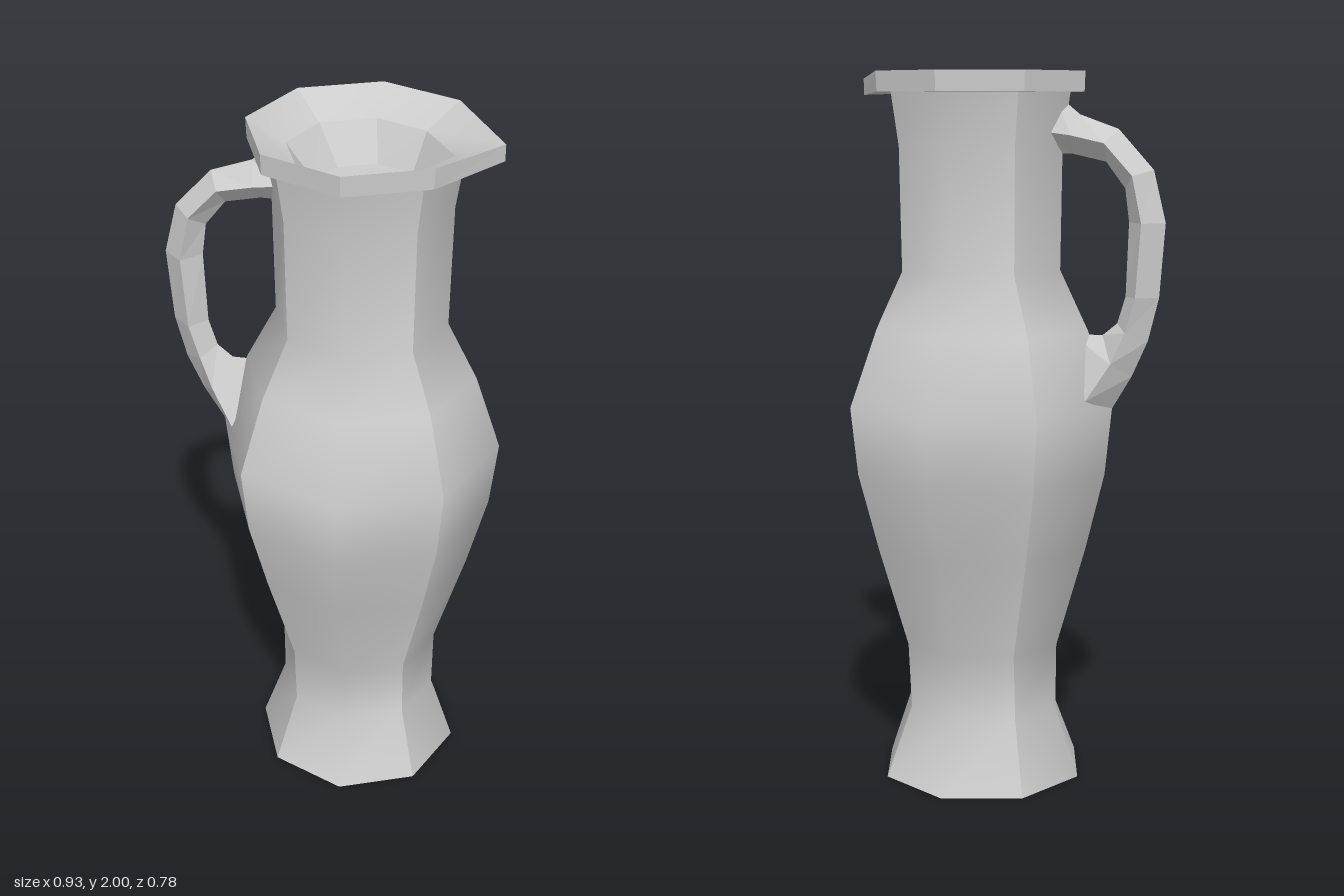
import * as THREE from 'three';

const AXIS = 0.07; // the vessel's axis is offset to make room for the handle

// Skin a grid of points: rings[i][j], i along the part, j around it
function loft(name, rings, flat) {
  const n = rings[0].length, index = [];
  for (let i = 0; i < rings.length - 1; i++) {
    for (let j = 0; j < n - 1; j++) {
      const a = i * n + j, b = a + n;
      index.push(a, b, a + 1, b, b + 1, a + 1);
    }
  }
  const geo = new THREE.BufferGeometry();
  geo.setAttribute('position', new THREE.Float32BufferAttribute(rings.flat(2), 3));
  geo.setIndex(index);
  geo.computeVertexNormals();
  const mesh = new THREE.Mesh(geo, new THREE.MeshStandardMaterial({ color: 0xcccccc, flatShading: flat }));
  mesh.name = name;
  return mesh;
}

// Octagonal part from a profile of [y, rx, rz, spoutReach, spoutDrop, xShift],
// split in four panels so that the diagonal edges stay sharp
function octagon(name, profile, flat = false) {
  const group = new THREE.Group();
  group.name = name;
  for (let side = 0; side < 4; side++) {
    const rings = profile.map(([y, rx, rz, reach = 0, drop = 0, shift = 0]) =>
      [-1, 0, 1].map((k) => {
        const a = (side * 2 + k) * Math.PI / 4;
        const tip = side === 0 && k === 0 ? 1 : 0;
        return [AXIS + shift + rx * Math.cos(a) + tip * reach, y - tip * drop, rz * Math.sin(a)];
      }));
    group.add(loft(name + 'Panel', rings, flat));
  }
  return group;
}

export function createModel() {
  const model = new THREE.Group();
  model.name = 'pitcher';

  model.add(octagon('base', [[0, 0, 0], [0, 0.297, 0.297]], true));
  model.add(octagon('body', [
    [0, 0.297, 0.297], [0.2, 0.228, 0.203], [0.39, 0.23, 0.225], [0.68, 0.315, 0.31],
    [0.9, 0.37, 0.372], [1.09, 0.39, 0.392], [1.3, 0.318, 0.302], [1.46, 0.235, 0.235],
    [1.8, 0.24, 0.242], [1.945, 0.262, 0.262],
  ]));

  // Lip with a small spout towards +x
  model.add(octagon('lip', [
    [1.945, 0.255, 0.255], [1.945, 0.302, 0.302, 0.058, 0.008], [2, 0.304, 0.304, 0.056, 0.018],
  ], true));
  model.add(octagon('funnel', [[2, 0.304, 0.304, 0.056, 0.018], [1.94, 0.2, 0.2, 0.035, 0]]));
  model.add(octagon('well', [
    [1.94, 0.2, 0.2, 0.035, 0], [1.84, 0.14, 0.135, 0.02, 0, 0.015], [1.84, 0, 0, 0, 0, 0.015],
  ], true));

  // Handle: diamond sections [outer x, y, middle x, y, inner x, y, half width]
  const sections = [
    [-0.15, 1.94, -0.13, 1.84, -0.13, 1.78, 0.05],
    [-0.22, 1.885, -0.21, 1.83, -0.2, 1.78, 0.05],
    [-0.33, 1.847, -0.305, 1.81, -0.295, 1.76, 0.05],
    [-0.43, 1.74, -0.385, 1.725, -0.35, 1.69, 0.05],
    [-0.465, 1.6, -0.412, 1.6, -0.362, 1.6, 0.05],
    [-0.45, 1.4, -0.398, 1.4, -0.355, 1.4, 0.05],
    [-0.42, 1.28, -0.37, 1.305, -0.332, 1.325, 0.05],
    [-0.375, 1.18, -0.335, 1.22, -0.29, 1.29, 0.065],
    [-0.315, 1.08, -0.275, 1.12, -0.2, 1.29, 0.095],
  ];
  model.add(loft('handle', sections.map(([ox, oy, mx, my, ix, iy, w]) =>
    [[ox, oy, 0], [mx, my, w], [ix, iy, 0], [mx, my, -w], [ox, oy, 0]]), true));

  return model;
}
